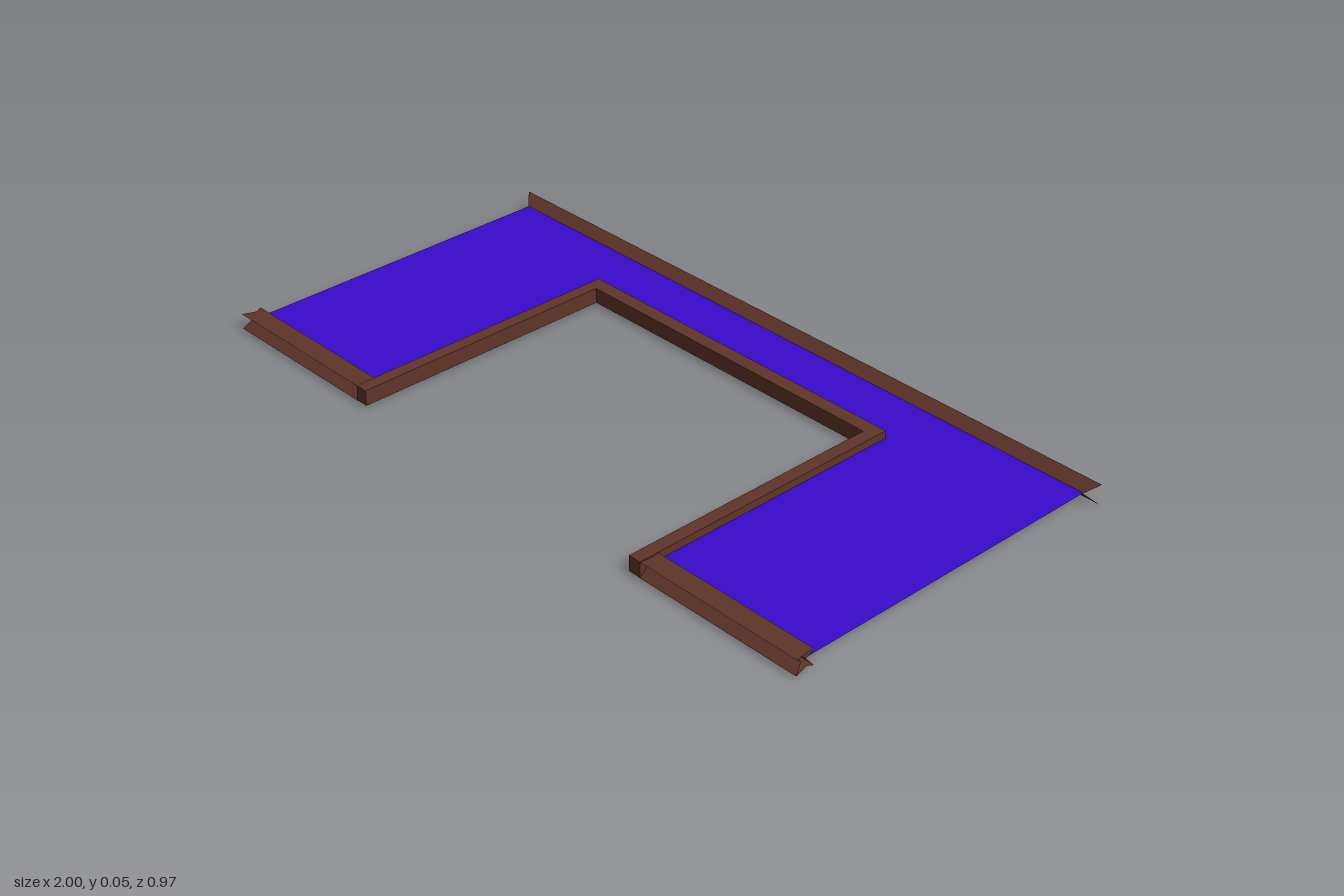
import * as THREE from 'three';

const brown = new THREE.MeshStandardMaterial({ color: 0x5f3428, flatShading: true, side: THREE.DoubleSide });
const purple = new THREE.MeshStandardMaterial({ color: 0x3a0acc, side: THREE.DoubleSide });

// Open moulding strip along x; each profile point is [z, y, xStart, xEnd]
function moulding(name, profile) {
  const pos = [], index = [];
  profile.forEach(([z, y, x0, x1], i) => {
    pos.push(x0, y, z, x1, y, z);
    if (i > 0) {
      const a = 2 * i - 2;
      index.push(a, a + 2, a + 1, a + 1, a + 2, a + 3);
    }
  });
  const g = new THREE.BufferGeometry();
  g.setAttribute('position', new THREE.Float32BufferAttribute(pos, 3));
  g.setIndex(index);
  const flat = g.toNonIndexed();
  flat.computeVertexNormals();
  const mesh = new THREE.Mesh(flat, brown);
  mesh.name = name;
  return mesh;
}

// U-shaped outline in plan; shape y is -z
function planShape(points) {
  return new THREE.Shape(points.map(([x, z]) => new THREE.Vector2(x, -z)));
}

export function createModel() {
  const model = new THREE.Group();
  model.name = 'counter';

  // Thin coloured deck wrapping the opening
  const deckShape = planShape([
    [-0.97, 0.45], [-0.49, 0.45], [-0.49, -0.28], [0.49, -0.28],
    [0.49, 0.45], [0.97, 0.45], [0.97, -0.465], [-0.97, -0.465],
  ]);
  const deckGeo = new THREE.ShapeGeometry(deckShape);
  deckGeo.rotateX(-Math.PI / 2);
  const deck = new THREE.Mesh(deckGeo, purple);
  deck.name = 'deck';
  deck.position.y = 0.03;
  model.add(deck);

  // Solid trim around the opening
  const trimShape = planShape([
    [-0.505, 0.485], [-0.47, 0.485], [-0.47, -0.262], [0.47, -0.262],
    [0.47, 0.485], [0.505, 0.485], [0.505, -0.302], [-0.505, -0.302],
  ]);
  const trimGeo = new THREE.ExtrudeGeometry(trimShape, { depth: 0.042, bevelEnabled: false });
  trimGeo.rotateX(-Math.PI / 2);
  const trim = new THREE.Mesh(trimGeo, brown);
  trim.name = 'openingTrim';
  trim.position.y = 0.009;
  model.add(trim);

  // Back rail: V-shaped strip with mitred ends
  model.add(moulding('backRail', [[-0.488, 0.055], [-0.46, 0.029], [-0.488, 0]].map(([z, y]) => {
    const x = 0.97 - (z + 0.46) * 1.07;
    return [z, y, -x, x];
  })));

  // Front rails: grooved on the front and back faces
  const section = [
    [0.43, 0.05], [0.445, 0.046], [0.485, 0.05], [0.462, 0.03], [0.485, 0.008],
    [0.445, 0.01], [0.43, 0.008], [0.448, 0.03], [0.43, 0.05],
  ];
  for (const side of [-1, 1]) {
    const name = side > 0 ? 'frontRailLeft' : 'frontRailRight';
    model.add(moulding(name, section.map(([z, y]) => {
      const end = 0.97 + Math.abs(z - 0.455) * 0.4;
      return side > 0 ? [z, y, 0.5, end] : [z, y, -end, -0.5];
    })));
  }
  return model;
}
